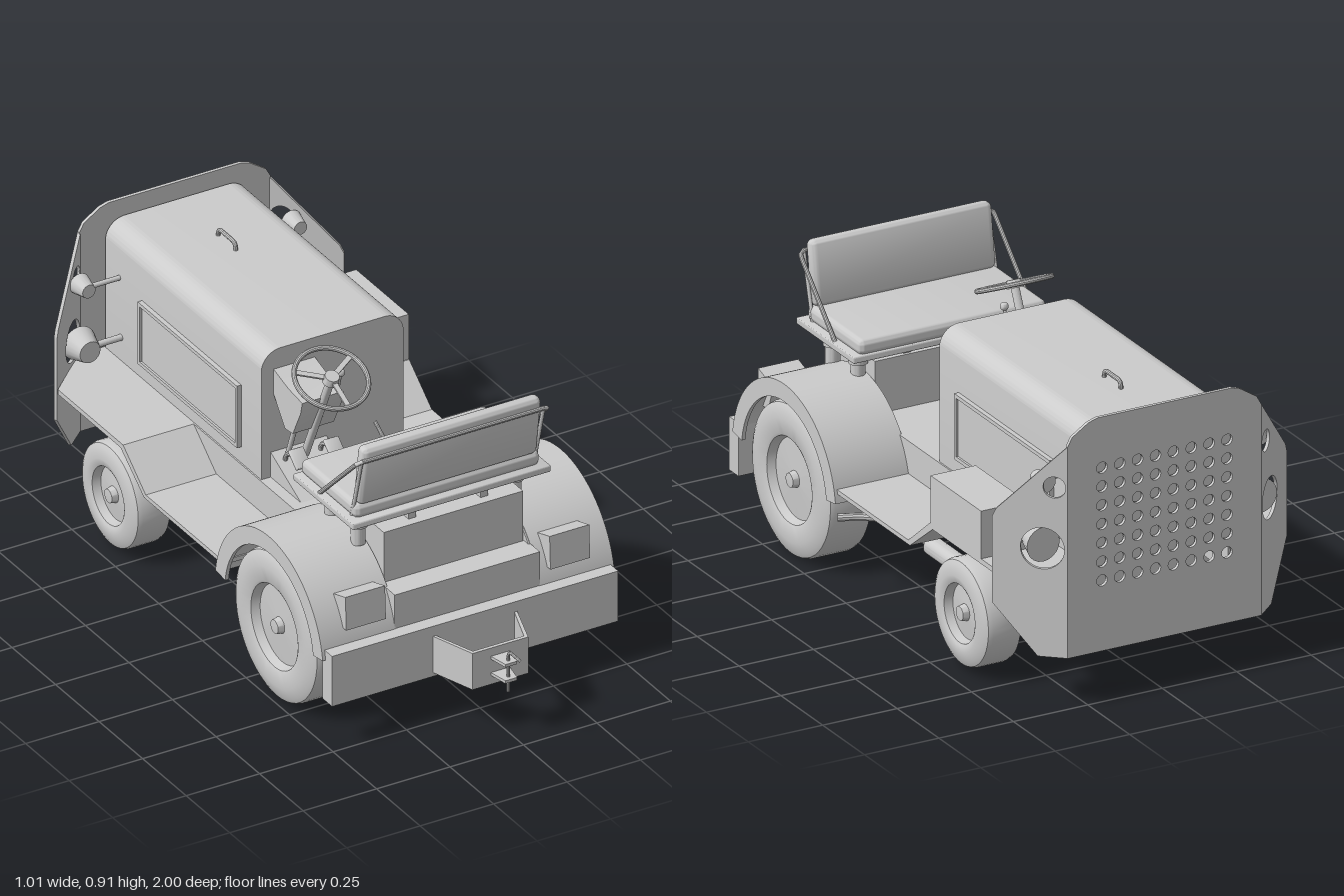
import * as THREE from 'three';
import { toCreasedNormals } from 'three/addons/utils/BufferGeometryUtils.js';
import { RoundedBoxGeometry } from 'three/addons/geometries/RoundedBoxGeometry.js';

const V = (x, y, z) => new THREE.Vector3(x, y, z);
const polygon = (pts) => new THREE.Shape(pts.map(([a, b]) => new THREE.Vector2(a, b)));
const circle = (x, y, r, n) => {
  const pts = [];
  for (let i = 0; i < n; i++) pts.push(new THREE.Vector2(x + r * Math.cos(i / n * 2 * Math.PI), y + r * Math.sin(i / n * 2 * Math.PI)));
  return new THREE.Path(pts);
};
const extrude = (shape, depth) => new THREE.ExtrudeGeometry(shape, { depth, bevelEnabled: false, curveSegments: 32 });
// side profile drawn in (z, y), spanning x0..x1
const profile = (shape, x0, x1) => extrude(shape, x1 - x0).rotateY(-Math.PI / 2).translate(x1, 0, 0);
// plan outline drawn in (x, z), spanning y0..y1
const plan = (pts, y0, y1) => extrude(polygon(pts), y1 - y0).rotateX(Math.PI / 2).translate(0, y1, 0);

export function createModel() {
  const model = new THREE.Group();
  const body = new THREE.Group();
  body.name = 'tractor';
  body.position.x = -0.0075;
  model.add(body);
  const material = new THREE.MeshStandardMaterial({ color: 0xcccccc });

  const add = (name, geo, parent = body) => {
    const mesh = new THREE.Mesh(toCreasedNormals(geo, 0.6), material);
    mesh.name = name;
    parent.add(mesh);
    return mesh;
  };
  // box given by its limits
  const box = (name, x0, x1, y0, y1, z0, z1) => add(name,
    new THREE.BoxGeometry(x1 - x0, y1 - y0, z1 - z0).translate((x0 + x1) / 2, (y0 + y1) / 2, (z0 + z1) / 2));
  const soft = (name, w, h, d, r, x, y, z) => {
    const m = add(name, new RoundedBoxGeometry(w, h, d, 3, r));
    m.position.set(x, y, z);
    return m;
  };
  // round bar between two points
  const rod = (name, a, b, r, r2 = r) => {
    const m = add(name, new THREE.CylinderGeometry(r2, r, a.distanceTo(b), 20));
    m.position.copy(a).lerp(b, 0.5);
    m.quaternion.setFromUnitVectors(V(0, 1, 0), b.clone().sub(a).normalize());
    return m;
  };
  // bent tube through straight runs with small rounded corners
  const tube = (name, pts, r) => {
    const path = new THREE.CurvePath();
    let from = pts[0];
    for (let i = 1; i < pts.length - 1; i++) {
      const p = pts[i], a = p.clone().add(pts[i - 1].clone().sub(p).setLength(0.02));
      const b = p.clone().add(pts[i + 1].clone().sub(p).setLength(0.02));
      path.add(new THREE.LineCurve3(from, a));
      path.add(new THREE.QuadraticBezierCurve3(a, p, b));
      from = b;
    }
    path.add(new THREE.LineCurve3(from, pts[pts.length - 1]));
    return add(name, new THREE.TubeGeometry(path, 64, r, 10));
  };

  // wheels: one lathe section of tyre, rim and hub
  const wheel = (name, s, xIn, xOut, y, z, R, rim) => {
    const h = (xOut - xIn) / 2, b = 0.018;
    const pts = [[0, -h + 0.03], [rim * 0.9, -h + 0.03], [rim, -h], [R - 0.05, -h - 0.003], [R - b, -h + 0.004], [R - 0.005, -h + b * 0.6], [R, -h + b * 1.4],
      [R, h - b * 1.4], [R - 0.005, h - b * 0.6], [R - b, h - 0.004], [R - 0.05, h + 0.003], [rim + 0.008, h], [rim, h - 0.004], [rim * 0.93, h - 0.03],
      [0.026, h - 0.024], [0.022, h - 0.004], [0, h - 0.002]];
    const geo = new THREE.LatheGeometry(pts.map(([r, t]) => new THREE.Vector2(r, t)), 48);
    add(name, geo.rotateZ(-s * Math.PI / 2)).position.set(s * (xIn + xOut) / 2, y, z);
  };

  for (const s of [1, -1]) {
    const span = (a, b) => s > 0 ? [a, b] : [-b, -a];
    wheel('rearWheel', s, 0.325, 0.483, 0.247, 0.39, 0.239, 0.135);
    wheel('frontWheel', s, 0.335, 0.465, 0.19, -0.595, 0.166, 0.092);

    // rear fender: shell, outer lip and inner wall
    const arc = (ro, ri) => {
      const sh = new THREE.Shape();
      sh.absarc(0.39, 0.247, ro, 0.14, Math.PI - 0.14, false);
      if (ri) sh.absarc(0.39, 0.247, ri, Math.PI - 0.14, 0.14, true);
      return sh;
    };
    add('rearFender', profile(arc(0.311, 0.297), ...span(0.245, 0.497)));
    add('rearFenderLip', profile(arc(0.311, 0.255), ...span(0.485, 0.497)));
    add('rearFenderInnerWall', profile(arc(0.309), ...span(0.24, 0.252)));

    // running board rising into the front fender
    add('runningBoard', profile(polygon([[0.11, 0.318], [0.11, 0.332], [-0.335, 0.332], [-0.465, 0.436], [-0.48, 0.436], [-0.48, 0.42], [-0.345, 0.318]]), ...span(0.24, 0.487)));
    add('frontFender', plan([[s * 0.24, -0.47], [s * 0.487, -0.47], [s * 0.487, -0.84], [s * 0.33, -0.985], [s * 0.24, -0.985]], 0.42, 0.436));
    box('frameRail', ...span(0.225, 0.247), 0.32, 0.436, -0.98, 0.69);

    // hood side panel with raised border
    box('hoodSidePanel', ...span(0.24, 0.25), 0.5, 0.695, -0.765, -0.205);
    const border = polygon([[-0.77, 0.49], [-0.2, 0.49], [-0.2, 0.7], [-0.77, 0.7]]);
    border.holes.push(polygon([[-0.758, 0.502], [-0.212, 0.502], [-0.212, 0.688], [-0.758, 0.688]]));
    add('hoodPanelBorder', profile(border, ...span(0.24, 0.257)));

    // shield wing folded back, with two lamp openings
    const L = Math.hypot(0.17, 0.15);
    const wing = polygon([[0, 0.17], [s * 0.09, 0.17], [s * L, 0.33], [s * L, 0.605], [s * (L - 0.012), 0.63], [0, 0.845]]);
    wing.holes.push(circle(s * 0.076, 0.515, 0.066, 32), circle(s * 0.04, 0.712, 0.034, 24));
    const w = add('shieldWing', extrude(wing, 0.01));
    w.rotation.y = -s * Math.atan2(0.15, 0.17);
    w.position.set(s * 0.325, 0, -1);

    // lamps behind the shield
    rod('headlamp', V(s * 0.365, 0.515, -0.86), V(s * 0.365, 0.515, -0.925), 0.035, 0.055);
    rod('headlampBracket', V(s * 0.24, 0.515, -0.89), V(s * 0.36, 0.515, -0.89), 0.01);
    rod('upperLamp', V(s * 0.36, 0.712, -0.875), V(s * 0.36, 0.712, -0.93), 0.022, 0.034);
    rod('upperLampBracket', V(s * 0.24, 0.712, -0.9), V(s * 0.35, 0.712, -0.9), 0.008);

    // tail lamp box and seat mounts
    add('tailLamp', profile(polygon([[0.6, 0.45], [0.69, 0.478], [0.695, 0.368], [0.63, 0.368]]), ...span(0.28, 0.415)));
    for (const z of [0.36, 0.51]) {
      rod('seatMount', V(s * 0.265, 0.53, z), V(s * 0.265, 0.64, z), 0.022);
      rod('seatMountCap', V(s * 0.265, 0.59, z), V(s * 0.265, 0.615, z), 0.03);
    }
    box('seatSupport', ...span(0.11, 0.135), 0.6, 0.64, 0.32, 0.58);
    rod('rearAxleTube', V(s * 0.08, 0.247, 0.39), V(s * 0.35, 0.247, 0.39), 0.055);
  }

  // front shield with a grid of round vents
  const shield = polygon([[-0.325, 0.17], [0.325, 0.17], [0.325, 0.845], [0.31, 0.872], [0.255, 0.908], [0.225, 0.917],
    [-0.225, 0.917], [-0.255, 0.908], [-0.31, 0.872], [-0.325, 0.845]]);
  for (let i = 0; i < 8; i++) for (let j = 0; j < 7; j++) shield.holes.push(circle((i - 3.5) * 0.06, 0.395 + j * 0.06, 0.018, 14));
  add('frontShield', extrude(shield, 0.011).translate(0, 0, -1));

  // hood with rounded shoulders, and its handle
  const hood = new THREE.Shape();
  hood.moveTo(-0.242, 0.43).lineTo(0.242, 0.43).lineTo(0.242, 0.8);
  hood.absarc(0.177, 0.8, 0.065, 0, Math.PI / 2, false);
  hood.absarc(-0.177, 0.8, 0.065, Math.PI / 2, Math.PI, false);
  add('hood', extrude(hood, 0.895).translate(0, 0, -0.98));
  tube('hoodHandle', [V(0, 0.86, -0.64), V(0, 0.888, -0.64), V(0, 0.888, -0.74), V(0, 0.86, -0.74)], 0.007);

  // chassis, floor and rear body
  box('floor', -0.242, 0.242, 0.42, 0.436, -0.98, 0.69);
  add('footPlate', profile(polygon([[0.09, 0.436], [-0.085, 0.436], [-0.085, 0.52]]), -0.21, -0.02));
  box('rearPanel', -0.247, 0.247, 0.32, 0.436, 0.67, 0.69);
  box('engineBox', -0.237, 0.237, 0.43, 0.605, 0.31, 0.61);
  box('toolBox', 0.335, 0.487, 0.43, 0.588, -0.77, -0.468);
  box('rearBumper', -0.487, 0.487, 0.152, 0.322, 0.68, 0.735);
  box('frontAxle', -0.345, 0.345, 0.135, 0.25, -0.655, -0.535);
  box('frontAxleMount', -0.08, 0.08, 0.25, 0.425, -0.64, -0.55);
  box('differential', -0.09, 0.09, 0.165, 0.33, 0.31, 0.47);

  // hitch bracket with double jaw and pin
  add('hitchBracket', plan([[-0.145, 0.73], [-0.095, 0.88], [0.095, 0.88], [0.145, 0.73], [0.135, 0.73], [0.087, 0.868], [-0.087, 0.868], [-0.135, 0.73]], 0.165, 0.288));
  for (const y of [0.2, 0.255]) add('hitchJaw', plan([[-0.034, 0.87], [0.034, 0.87], [0.02, 0.943], [-0.02, 0.943]], y - 0.005, y + 0.005));
  tube('hitchPin', [V(0, 0.155, 0.925), V(0, 0.291, 0.925), V(0, 0.291, 1)], 0.005);

  // bench seat, tilted backrest and its tubular frame
  soft('seatBase', 0.675, 0.022, 0.345, 0.005, 0, 0.647, 0.43);
  soft('seatCushion', 0.63, 0.05, 0.32, 0.018, 0, 0.678, 0.42);
  soft('backrest', 0.61, 0.205, 0.045, 0.02, 0, 0.8, 0.575).rotation.x = 0.14;
  tube('seatFrame', [V(-0.325, 0.655, 0.39), V(-0.325, 0.863, 0.607), V(0.325, 0.863, 0.607), V(0.325, 0.655, 0.39)], 0.007);
  for (const x of [-0.31, 0.31]) rod('backrestPost', V(x, 0.655, 0.55), V(x, 0.863, 0.605), 0.006);

  // dashboard, steering column and wheel
  const X = -0.125, hub = V(X, 0.848, 0.12);
  add('dashboard', profile(polygon([[0.08, 0.765], [0.07, 0.725], [0.025, 0.635], [-0.02, 0.63], [-0.09, 0.72], [-0.09, 0.8], [0, 0.775]]), X - 0.075, X + 0.065));
  rod('steeringColumn', V(X, 0.52, -0.03), hub, 0.013);
  const steering = new THREE.Group();
  steering.name = 'steeringWheel';
  steering.position.copy(hub);
  steering.quaternion.setFromUnitVectors(V(0, 1, 0), V(0, 0.215, 0.1).normalize());
  body.add(steering);
  add('steeringRim', new THREE.TorusGeometry(0.112, 0.008, 10, 48).rotateX(Math.PI / 2), steering);
  add('steeringHub', new THREE.CylinderGeometry(0.022, 0.026, 0.025, 20), steering);
  for (let i = 0; i < 3; i++) add('steeringSpoke', new THREE.BoxGeometry(0.016, 0.006, 0.11).translate(0, 0, 0.055).rotateY(i * Math.PI * 2 / 3), steering);

  // levers and pedals
  rod('dashLever', V(X + 0.07, 0.72, 0.03), V(X + 0.07, 0.81, 0.055), 0.005);
  add('dashLeverKnob', new THREE.SphereGeometry(0.013, 16, 12)).position.set(X + 0.07, 0.815, 0.056);
  tube('handLever', [V(0.03, 0.436, 0.215), V(0.03, 0.57, 0.24), V(0.03, 0.65, 0.11)], 0.006);
  for (const x of [-0.18, -0.06]) {
    tube('pedalArm', [V(x, 0.47, -0.06), V(x, 0.53, -0.045), V(x, 0.545, 0.03)], 0.007);
    soft('pedal', 0.05, 0.012, 0.065, 0.004, x, 0.548, 0.03).rotation.x = 0.7;
  }
  rod('columnBrace', V(X - 0.04, 0.52, -0.06), V(X - 0.04, 0.65, -0.01), 0.008);

  // exhaust
  rod('muffler', V(0.37, 0.265, -0.45), V(0.37, 0.265, -0.27), 0.03);
  tube('exhaustPipe', [V(0.37, 0.265, -0.28), V(0.37, 0.265, -0.05), V(0.45, 0.265, 0.02), V(0.512, 0.265, 0.045)], 0.012);
  return model;
}
